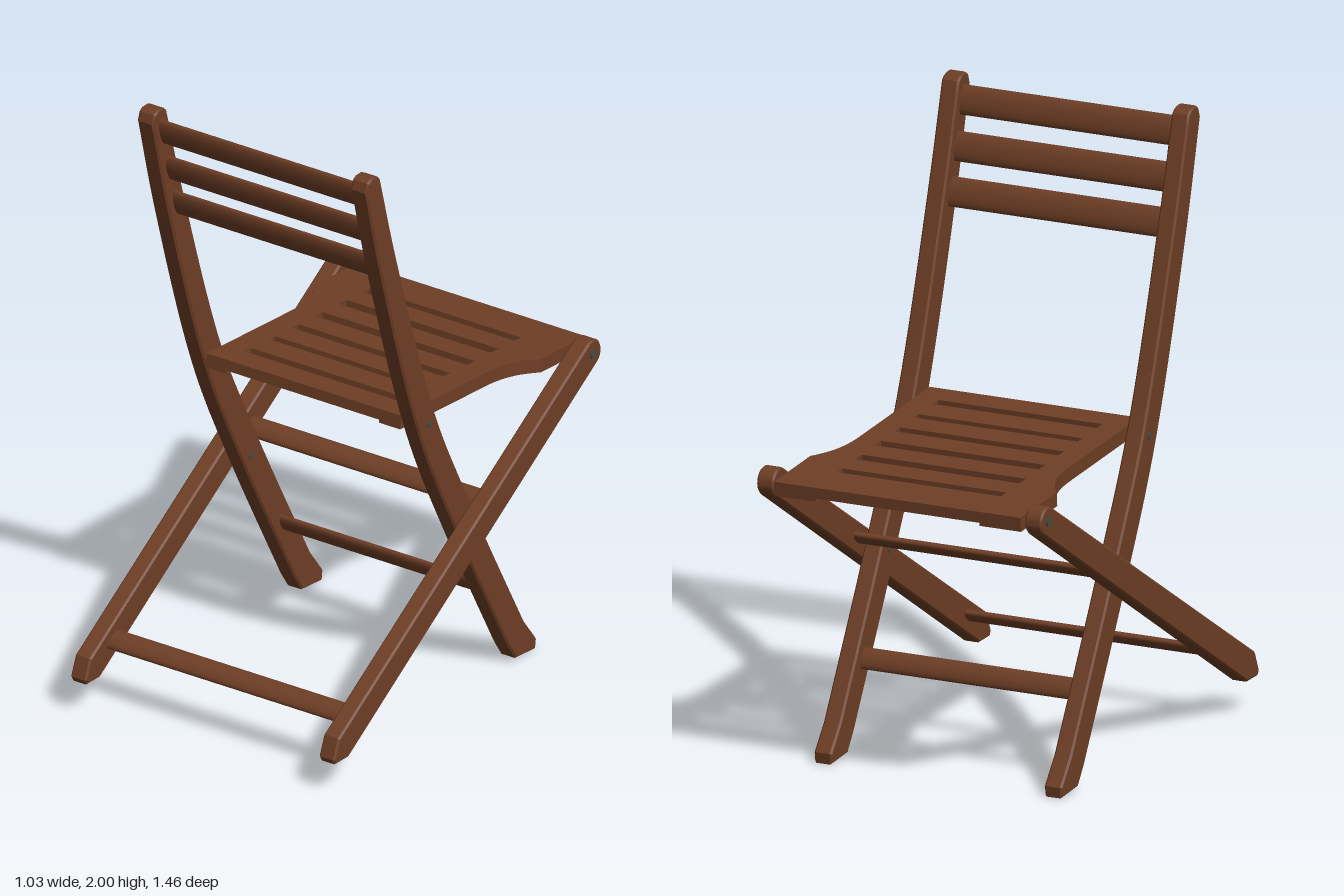
import * as THREE from 'three';
import { toCreasedNormals } from 'three/addons/utils/BufferGeometryUtils.js';

const wood = new THREE.MeshStandardMaterial({ color: 0x6e3e25 });
wood.name = 'brown wood';
const metal = new THREE.MeshStandardMaterial({ color: 0x4a4a42 });
metal.name = 'dull metal';

function add(parent, name, geometry, material = wood) {
  const mesh = new THREE.Mesh(geometry, material);
  mesh.name = name;
  parent.add(mesh);
  return mesh;
}

// Board cut from a side profile given in (z, y), centred on x = 0
function sideBoard(points, width) {
  const bevel = 0.006;
  const geo = new THREE.ExtrudeGeometry(new THREE.Shape(points), {
    depth: width - 2 * bevel, bevelEnabled: true, bevelSize: bevel,
    bevelOffset: -bevel, bevelThickness: bevel, bevelSegments: 1,
  });
  geo.translate(0, 0, -width / 2 + bevel);
  geo.rotateY(-Math.PI / 2);
  return toCreasedNormals(geo, 0.4);
}

// Oval bar along x; its long axis follows the direction (dz, dy)
function ovalBar(length, halfLong, halfThin, dz, dy) {
  const geo = new THREE.CylinderGeometry(1, 1, 1, 24);
  geo.rotateZ(Math.PI / 2);
  geo.scale(length, halfLong, halfThin);
  geo.rotateX(Math.atan2(dz, dy));
  return geo;
}

// Centre line of the curved legs, as (z, y) from top to bottom
const curve = new THREE.CatmullRomCurve3([
  [0.419, 1.97], [0.33, 1.64], [0.127, 1.02], [-0.066, 0.62], [-0.39, 0.02],
].map(([z, y]) => new THREE.Vector3(z, y, 0)));

// Parameter on the curve where it reaches a given height
function curveAt(y) {
  let lo = 0, hi = 1;
  for (let i = 0; i < 30; i++) {
    const mid = (lo + hi) / 2;
    if (curve.getPoint(mid).y > y) lo = mid; else hi = mid;
  }
  return lo;
}

function curvedLegPoints() {
  const left = [], right = [], n = 32;
  for (let i = 0; i <= n; i++) {
    const p = curve.getPoint(i / n), t = curve.getTangent(i / n);
    const h = 0.04 + 0.01 * Math.min(1, i / n * 1.5);
    left.push(new THREE.Vector2(p.x - t.y * h, p.y + t.x * h));
    right.push(new THREE.Vector2(p.x + t.y * h, p.y - t.x * h));
  }
  // tangent runs downwards, so "left" is the +z edge
  const foot = [[-0.345, 0.012], [-0.452, 0.0], [-0.457, 0.035]].map(p => new THREE.Vector2(...p));
  const head = [[0.392, 1.992], [0.41, 2.0], [0.43, 2.0], [0.448, 1.99]].map(p => new THREE.Vector2(...p));
  return [...left.slice(0, n), ...foot, ...right.slice(0, n).reverse(), ...head];
}

function straightLegPoints() {
  const pts = [[0.696, 0.19], [0.723, 0.125], [0.714, 0.108], [0.645, 0.105]];
  // rounded upper end
  const start = Math.atan2(-0.854, -0.52);
  for (let i = 0; i <= 16; i++) {
    const a = start - Math.PI * i / 16;
    pts.push([-0.665 + 0.047 * Math.cos(a), 0.952 + 0.047 * Math.sin(a)]);
  }
  return pts.map(p => new THREE.Vector2(...p));
}

export function createModel() {
  const model = new THREE.Group();
  model.name = 'foldingChair';
  const chair = new THREE.Group();
  chair.name = 'chairFrame';
  chair.rotation.y = 0.019;
  model.add(chair);

  // Legs, mirrored left and right
  const curvedGeo = sideBoard(curvedLegPoints(), 0.061);
  const straightGeo = sideBoard(straightLegPoints(), 0.059);
  const pinGeo = (length, r) => new THREE.CylinderGeometry(r, r, length, 16).rotateZ(Math.PI / 2);
  for (const s of [1, -1]) {
    const side = s > 0 ? 'left' : 'right';
    add(chair, side + 'CurvedLeg', curvedGeo).position.x = s * 0.402;
    add(chair, side + 'StraightLeg', straightGeo).position.x = s * 0.468;
    // Pivot pins
    add(chair, side + 'SeatFrontPin', pinGeo(0.15, 0.016), metal).position.set(s * 0.427, 0.952, -0.665);
    add(chair, side + 'SeatRearPin', pinGeo(0.09, 0.012), metal).position.set(s * 0.391, 1.02, 0.122);
    add(chair, side + 'CrossingPin', pinGeo(0.085, 0.012), metal).position.set(s * 0.411, 0.595, -0.07);
  }

  // Backrest slats and the rung low between the curved legs
  for (const [name, y, half, thin] of [
    ['topBackSlat', 1.918, 0.047, 0.016], ['middleBackSlat', 1.778, 0.047, 0.016],
    ['lowerBackSlat', 1.642, 0.047, 0.016], ['curvedLegRung', 0.29, 0.035, 0.015],
  ]) {
    const t = curveAt(y), p = curve.getPoint(t), d = curve.getTangent(t);
    add(chair, name, ovalBar(0.75, half, thin, -d.x, -d.y)).position.set(0, y, p.x);
  }

  // Rungs between the straight legs
  for (const [name, y, z] of [['lowerRung', 0.21, 0.577], ['upperRung', 0.645, -0.152]]) {
    add(chair, name, ovalBar(0.885, 0.036, 0.016, -0.854, 0.52)).position.set(0, y, z);
  }

  // Seat: flat in its own frame with the top at y = 0, then tilted
  const seat = new THREE.Group();
  seat.name = 'seat';
  seat.position.set(0, 1.012, -0.27);
  seat.rotation.x = -0.094;
  chair.add(seat);
  for (const s of [1, -1]) {
    const rail = new THREE.Shape();
    rail.moveTo(s * 0.286, -0.455);
    rail.lineTo(s * 0.43, -0.455);
    rail.lineTo(s * 0.43, -0.215);
    rail.bezierCurveTo(s * 0.395, -0.17, s * 0.366, -0.12, s * 0.366, -0.01);
    rail.lineTo(s * 0.366, 0.45);
    rail.lineTo(s * 0.286, 0.45);
    rail.closePath();
    const geo = new THREE.ExtrudeGeometry(rail, { depth: 0.046, bevelEnabled: false, curveSegments: 12 });
    geo.rotateX(Math.PI / 2);
    add(seat, (s > 0 ? 'left' : 'right') + 'SeatRail', toCreasedNormals(geo, 0.4));
  }
  const slats = [[-0.725, -0.58], [-0.546, -0.46], [-0.418, -0.331], [-0.29, -0.201],
    [-0.165, -0.074], [-0.043, 0.052], [0.088, 0.18]];
  slats.forEach(([z0, z1], i) => {
    const geo = new THREE.BoxGeometry(0.572, 0.036, z1 - z0);
    add(seat, 'seatSlat' + (i + 1), geo).position.set(0, -0.018, (z0 + z1) / 2 + 0.27);
  });

  return model;
}
